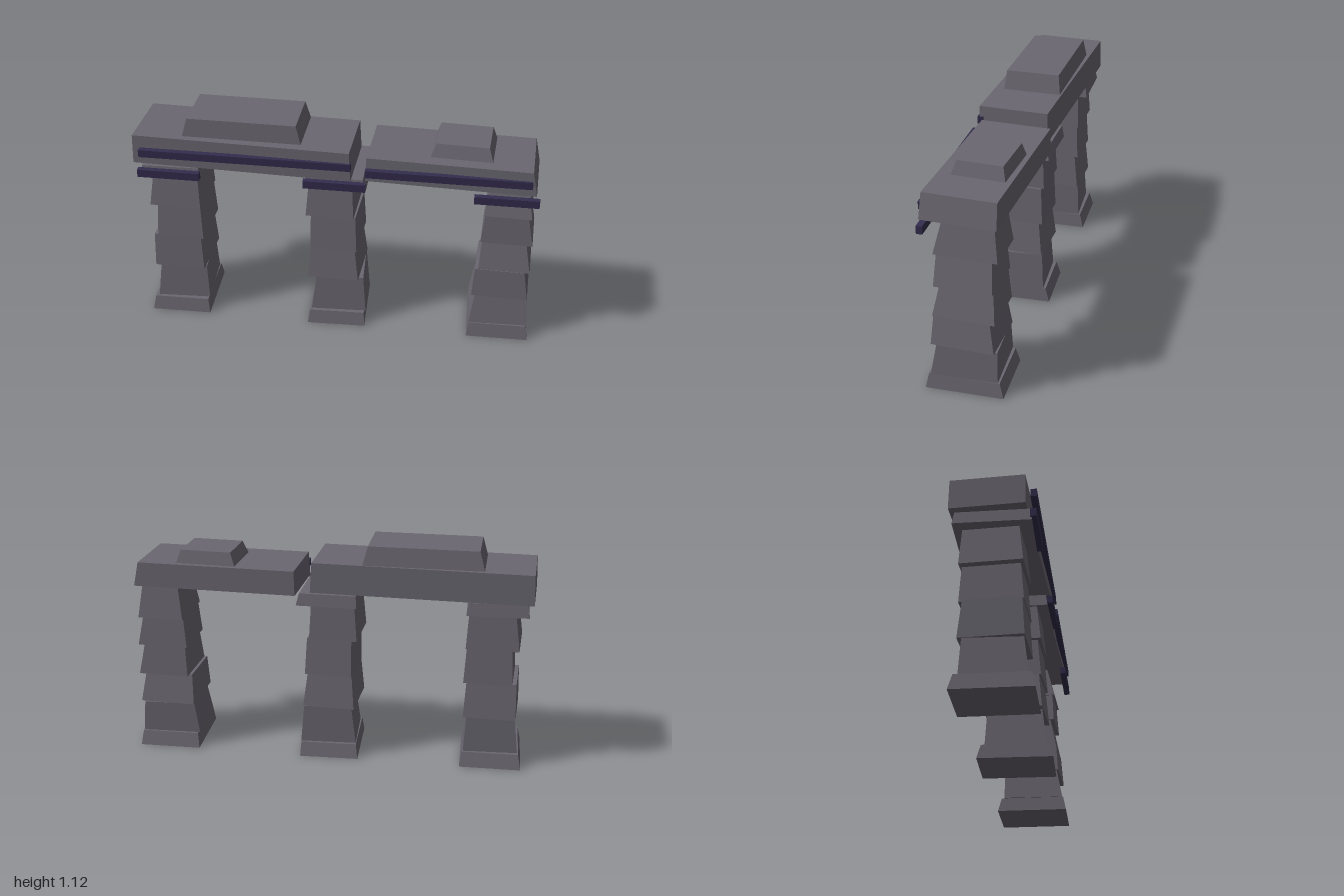
import * as THREE from 'three';

const stone = new THREE.MeshStandardMaterial({ color: 0x6b6771 });
stone.name = 'grey stone';
const inlay = new THREE.MeshStandardMaterial({ color: 0x332d4d });
inlay.name = 'dark violet inlay';

// Tapered block: bottom and top rectangles are [x0, x1, z0, z1]; yaw in degrees about its middle
function block(name, y0, y1, bottom, top = bottom, yaw = 0, material = stone) {
  const geometry = new THREE.BoxGeometry(1, 1, 1);
  const p = geometry.attributes.position;
  const cx = (bottom[0] + bottom[1]) / 2, cz = (bottom[2] + bottom[3]) / 2;
  const a = THREE.MathUtils.degToRad(yaw);
  for (let i = 0; i < p.count; i++) {
    const r = p.getY(i) > 0 ? top : bottom;
    const x = (p.getX(i) > 0 ? r[1] : r[0]) - cx;
    const z = (p.getZ(i) > 0 ? r[3] : r[2]) - cz;
    p.setXYZ(i, cx + x * Math.cos(a) + z * Math.sin(a), p.getY(i) > 0 ? y1 : y0,
      cz - x * Math.sin(a) + z * Math.cos(a));
  }
  geometry.computeVertexNormals();
  const mesh = new THREE.Mesh(geometry, material);
  mesh.name = name;
  return mesh;
}

// Stacked courses: [y0, y1, bottom rectangle, top rectangle, yaw]
const pillars = {
  rightPillar: [
    [0.005, 0.08, [-0.965, -0.66, -0.185, 0.185], [-0.95, -0.67, -0.165, 0.17], 1],
    [0.08, 0.26, [-0.94, -0.67, -0.15, 0.15], [-0.92, -0.68, -0.14, 0.13], 3],
    [0.26, 0.445, [-0.935, -0.675, -0.15, 0.145], [-0.93, -0.685, -0.13, 0.135], -2],
    [0.445, 0.625, [-0.91, -0.67, -0.15, 0.14], [-0.9, -0.68, -0.14, 0.125], -2],
    [0.625, 0.81, [-0.935, -0.675, -0.15, 0.14], [-0.91, -0.685, -0.14, 0.12], -2],
    [0.81, 0.872, [-0.965, -0.665, -0.185, 0.175], [-0.955, -0.675, -0.175, 0.165], 1],
  ],
  middlePillar: [
    [0.003, 0.075, [-0.14, 0.155, -0.185, 0.185], [-0.13, 0.15, -0.165, 0.17], 2],
    [0.075, 0.265, [-0.125, 0.155, -0.15, 0.15], [-0.1, 0.14, -0.14, 0.13], 3],
    [0.265, 0.44, [-0.13, 0.13, -0.15, 0.145], [-0.115, 0.11, -0.13, 0.13], -3],
    [0.44, 0.63, [-0.115, 0.12, -0.15, 0.14], [-0.115, 0.11, -0.14, 0.125], -3],
    [0.63, 0.82, [-0.14, 0.1, -0.15, 0.14], [-0.125, 0.09, -0.14, 0.12], -2],
    [0.815, 0.875, [-0.14, 0.16, -0.185, 0.175], [-0.135, 0.145, -0.175, 0.165], -1],
  ],
  leftPillar: [
    [0.003, 0.077, [0.685, 0.995, -0.185, 0.185], [0.695, 0.985, -0.165, 0.17], 1],
    [0.077, 0.235, [0.69, 0.985, -0.153, 0.163], [0.715, 0.975, -0.15, 0.135], 2],
    [0.235, 0.39, [0.705, 0.985, -0.148, 0.152], [0.715, 0.96, -0.122, 0.142], -2],
    [0.39, 0.545, [0.73, 0.985, -0.153, 0.14], [0.74, 0.955, -0.14, 0.11], -2],
    [0.545, 0.7, [0.73, 0.985, -0.145, 0.13], [0.745, 0.955, -0.135, 0.122], -2],
    [0.7, 0.872, [0.74, 0.97, -0.165, 0.133], [0.762, 0.945, -0.145, 0.092], -2],
  ],
};

// Inlaid strips on the front: [name, x0, x1, y0, y1]
const strips = [
  ['rightLintelStrip', -0.955, 0.085, 0.935, 0.973],
  ['leftLintelStrip', 0.155, 0.95, 0.907, 0.945],
  ['rightCapStrip', -0.97, -0.66, 0.822, 0.862],
  ['middleCapStrip', -0.147, 0.157, 0.825, 0.865],
  ['leftCapStrip', 0.68, 0.99, 0.806, 0.845],
];

export function createModel() {
  const model = new THREE.Group();
  model.name = 'stoneGateway';

  for (const [name, courses] of Object.entries(pillars)) {
    const pillar = new THREE.Group();
    pillar.name = name;
    courses.forEach((c, i) => pillar.add(block(`course${i + 1}`, ...c)));
    model.add(pillar);
  }

  // Lintels and the slabs lying on them
  model.add(
    block('rightLintel', 0.877, 1.027, [-0.993, 0.091, -0.178, 0.172], [-0.988, 0.083, -0.175, 0.17], -2),
    block('leftLintel', 0.868, 0.99, [0.158, 0.98, -0.178, 0.176], [0.163, 0.955, -0.175, 0.17], -2.3),
    block('rightTopSlab', 1.02, 1.12, [-0.75, -0.16, -0.162, 0.13], [-0.722, -0.186, -0.147, 0.12], -0.7),
    block('leftTopSlab', 0.98, 1.055, [0.462, 0.767, -0.15, 0.11], [0.488, 0.742, -0.132, 0.085], -3),
  );

  for (const [name, x0, x1, y0, y1] of strips) {
    model.add(block(name, y0, y1, [x0, x1, 0.17, 0.199], undefined, 0, inlay));
  }
  return model;
}
